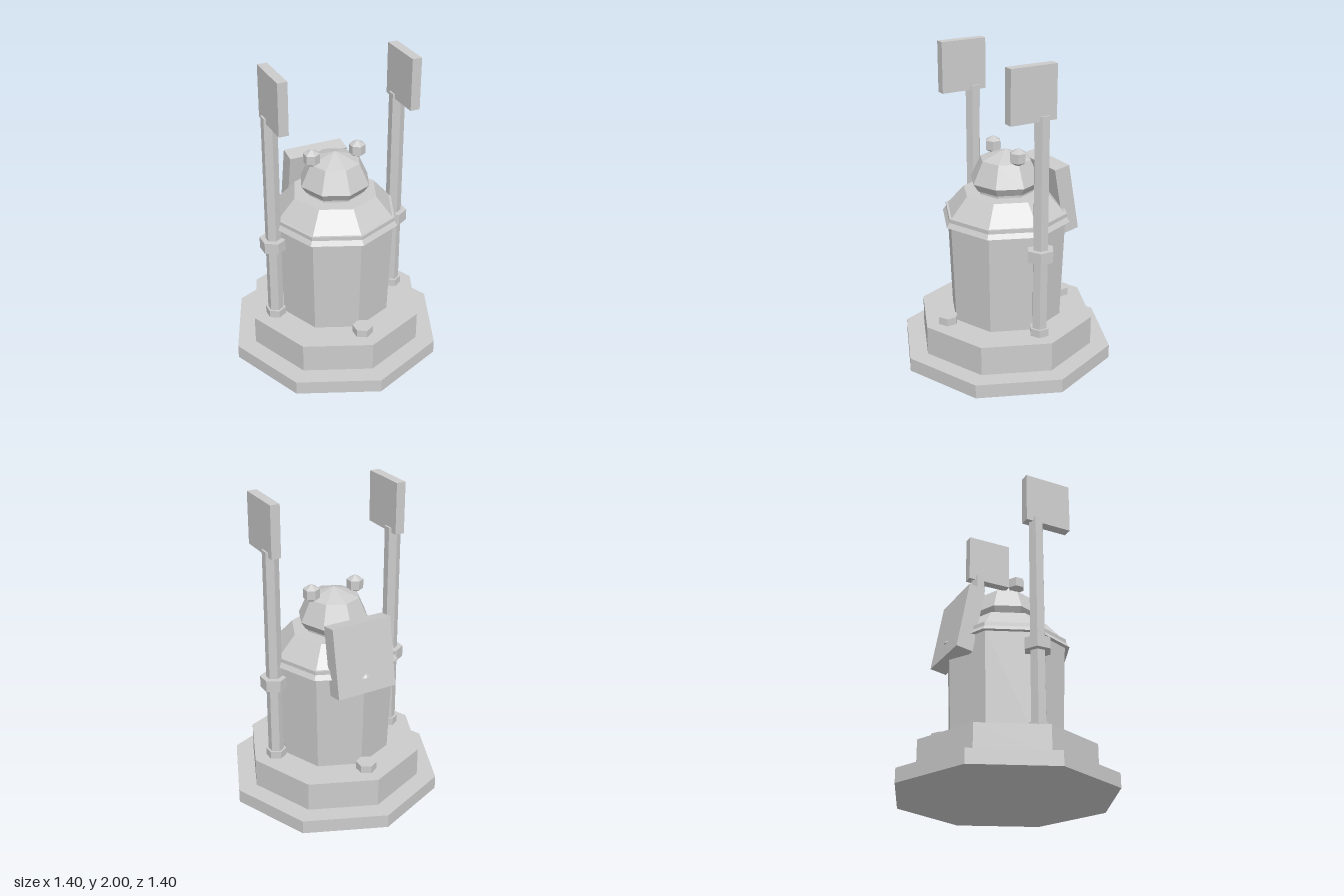
import * as THREE from 'three';

const material = new THREE.MeshStandardMaterial({ color: 0xcccccc, flatShading: true });

function addPart(parent, name, geometry, x = 0, y = 0, z = 0) {
  const faceted = geometry.index ? geometry.toNonIndexed() : geometry;
  faceted.computeVertexNormals();
  const mesh = new THREE.Mesh(faceted, material);
  mesh.name = name;
  mesh.position.set(x, y, z);
  parent.add(mesh);
  return mesh;
}

// Octagonal solid from [radius, height] pairs, listed bottom to top
const octagon = (profile) =>
  new THREE.LatheGeometry(profile.map(([r, y]) => new THREE.Vector2(r, y)), 8);

// Upright hexagonal prism between two heights
function addHex(parent, name, r, y0, y1, x, z) {
  return addPart(parent, name, new THREE.CylinderGeometry(r, r, y1 - y0, 6), x, (y0 + y1) / 2, z);
}

export function createModel() {
  const model = new THREE.Group();
  model.name = 'machine';

  // Stepped base
  addPart(model, 'lowerBase', octagon([[0, 0], [0.7, 0], [0.7, 0.09], [0, 0.09]]));
  addPart(model, 'upperBase', octagon([[0, 0.09], [0.575, 0.09], [0.575, 0.28], [0, 0.28]]));

  // Body, flaring slightly upward
  addPart(model, 'body', octagon([[0, 0.28], [0.365, 0.28], [0.39, 0.94], [0, 0.94]]));

  // Overhanging rim and sloped shoulder
  addPart(model, 'rim', octagon([[0, 0.93], [0.42, 0.93], [0.4, 0.96], [0.4, 0.985], [0, 0.985]]));
  addPart(model, 'shoulder', octagon([[0, 0.985], [0.385, 0.985], [0.275, 1.11], [0, 1.11]]));

  // Neck and domed cap
  addPart(model, 'neck', octagon([[0, 1.1], [0.18, 1.1], [0.18, 1.14], [0, 1.14]]));
  addPart(model, 'cap', octagon([[0, 1.13], [0.195, 1.13], [0.228, 1.18], [0.163, 1.32], [0, 1.38]]));

  // Front and back bolts on the base
  for (const s of [1, -1]) {
    addHex(model, s > 0 ? 'frontBolt' : 'backBolt', 0.065, 0.28, 0.33, 0, s * 0.425);
  }

  // Mirrored knobs and side posts with their panels
  for (const s of [1, -1]) {
    const side = s > 0 ? 'left' : 'right';
    const knob = new THREE.SphereGeometry(0.06, 6, 3).rotateY(Math.PI / 2);
    addPart(model, side + 'Knob', knob, s * 0.155, 1.366, 0);

    const post = new THREE.Group();
    post.name = side + 'Post';
    const x = s * 0.425;
    addHex(post, 'pole', 0.05, 0.28, 1.7, x, 0);
    addHex(post, 'foot', 0.065, 0.28, 0.33, x, 0);
    addHex(post, 'collar', 0.0875, 0.785, 0.86, x, 0);
    addPart(post, 'panel', new THREE.BoxGeometry(0.062, 0.33, 0.31), x, 1.835, 0.075);
    model.add(post);
  }

  // Back panel leaning toward the cap
  const backPanel = addPart(model, 'backPanel', new THREE.BoxGeometry(0.4, 0.445, 0.107), 0, 1.042, -0.334);
  backPanel.rotation.x = 0.18;

  return model;
}
